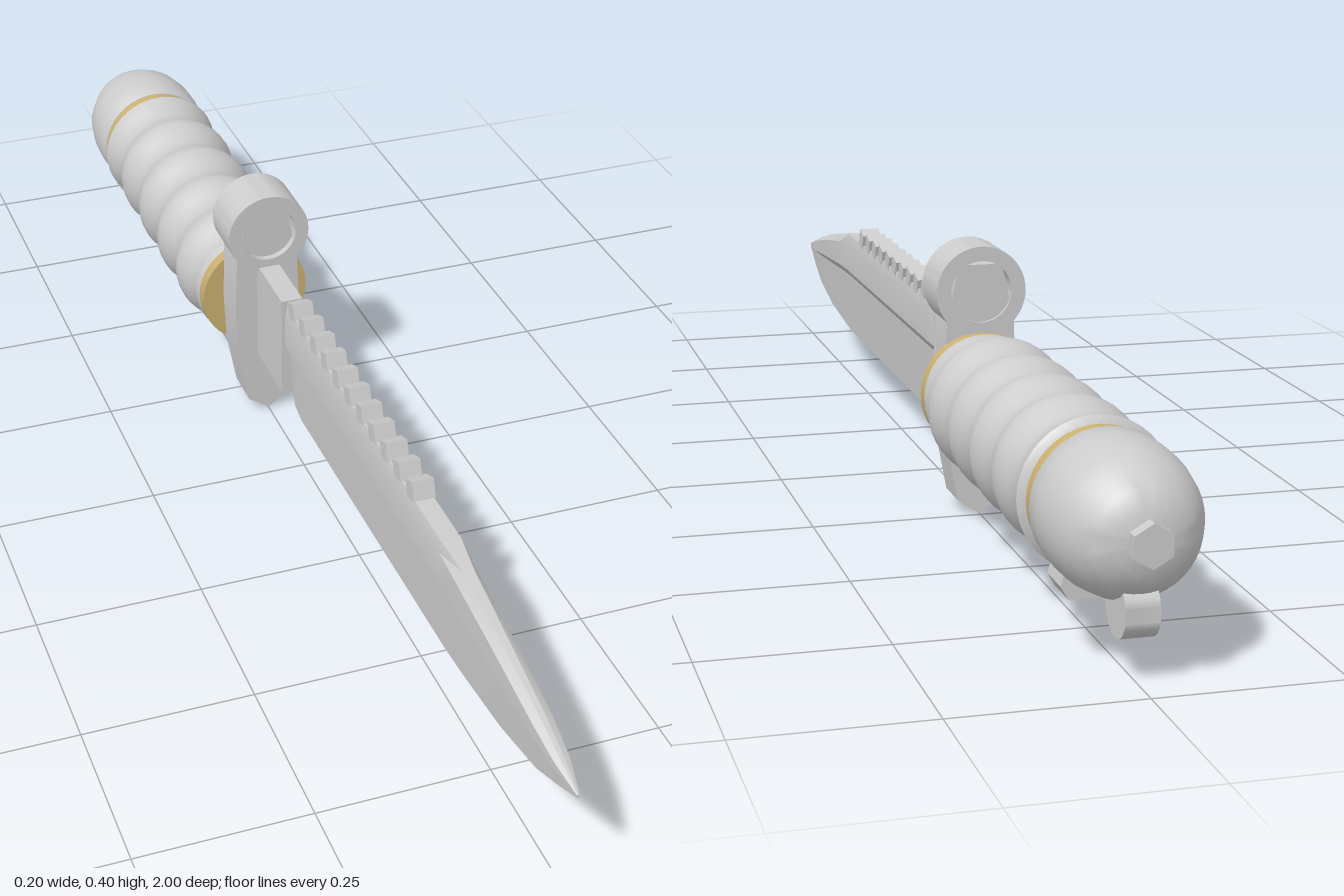
import * as THREE from 'three';
import { toCreasedNormals } from 'three/addons/utils/BufferGeometryUtils.js';

const AXIS_Y = 0.185; // height of the handle axis

export function createModel() {
  const model = new THREE.Group();
  model.name = 'knife';
  const steel = new THREE.MeshStandardMaterial({ color: 0xcccccc });
  steel.name = 'steel';
  const brass = new THREE.MeshStandardMaterial({ color: 0xcbb071 });
  brass.name = 'brass';

  const add = (name, geometry, material = steel, x = 0, y = 0, z = 0) => {
    const mesh = new THREE.Mesh(geometry, material);
    mesh.name = name;
    mesh.position.set(x, y, z);
    model.add(mesh);
    return mesh;
  };
  // Box given by its y and z limits, centred on x = 0
  const slab = (name, width, y0, y1, z0, z1) =>
    add(name, new THREE.BoxGeometry(width, y1 - y0, z1 - z0), steel, 0, (y0 + y1) / 2, (z0 + z1) / 2);
  // Turned part along z; profile rows are [radius, z] from back to front
  const turned = (name, profile, material, crease = 0.6) => {
    const pts = profile.map(([r, z]) => new THREE.Vector2(r, z));
    const geo = new THREE.LatheGeometry(pts, 40).rotateX(Math.PI / 2);
    return add(name, toCreasedNormals(geo, crease), material, 0, AXIS_Y, 0);
  };
  const extrude = (name, shape, z0, z1) => {
    const geo = new THREE.ExtrudeGeometry(shape, { depth: z1 - z0, bevelEnabled: false, curveSegments: 24 });
    return add(name, toCreasedNormals(geo, 0.5), steel, 0, 0, z0);
  };
  const polygon = (pts) => new THREE.Shape(pts.map(([x, y]) => new THREE.Vector2(x, y)));

  add('blade', bladeGeometry());

  // Saw teeth along the spine
  for (let i = 0; i < 11; i++) {
    const tooth = add('sawTooth', new THREE.BoxGeometry(0.032, 0.028, 0.026), steel, 0, 0.28, 0.478 - i * 0.0492);
    tooth.rotation.x = -0.35;
  }

  // Neck and ricasso between blade and guard
  slab('bladeNeck', 0.016, 0.2, 0.268, -0.06, -0.03);
  slab('ricasso', 0.034, 0.107, 0.275, -0.2, -0.056);

  // Guard plate with pointed lower end
  const half = [[0.033, 0.022], [0.05, 0.112], [0.054, 0.195], [0.05, 0.285], [0.032, 0.372]];
  const mirrored = half.map(([x, y]) => [-x, y]).reverse();
  extrude('guard', polygon([[0, 0], ...half, ...mirrored]), -0.245, -0.177);

  // Muzzle ring on top of the guard
  const ring = new THREE.Shape().absarc(0, 0.333, 0.066, 0, Math.PI * 2, false);
  ring.holes.push(new THREE.Path().absarc(0, 0.333, 0.045, 0, Math.PI * 2, true));
  extrude('muzzleRing', ring, -0.25, -0.166);

  // Brass washers at both ends of the grip
  for (const [name, z, r] of [['frontWasher', -0.263, 0.088], ['rearWasher', -0.813, 0.092]]) {
    turned(name, [[0, z], [r, z], [r, z + 0.022], [0, z + 0.022]], brass);
  }

  // Ribbed grip
  const grip = [[0, -0.792], [0.09, -0.792]];
  for (let i = 1; i < 48; i++) {
    const z = -0.792 + (i / 48) * 0.53;
    grip.push([0.0945 + 0.007 * Math.cos(((z + 0.345) / 0.11) * Math.PI * 2), z]);
  }
  grip.push([0.088, -0.262], [0, -0.262]);
  turned('grip', grip, steel, 0.9);

  // Domed pommel
  turned('pommel', [
    [0, -0.985], [0.04, -0.981], [0.062, -0.969], [0.08, -0.948], [0.092, -0.92],
    [0.098, -0.885], [0.099, -0.855], [0.097, -0.82], [0.093, -0.812], [0, -0.812],
  ], steel, 0.7);

  // Hexagonal end nut
  const nut = new THREE.CylinderGeometry(0.028, 0.028, 0.03, 6).rotateX(Math.PI / 2);
  add('endNut', toCreasedNormals(nut, 0.5), steel, 0, AXIS_Y, -0.985);

  // Latch under the pommel with its rounded lever
  extrude('latch', polygon([
    [-0.074, 0.103], [-0.064, 0.086], [0.064, 0.086], [0.074, 0.103], [0.07, 0.118], [-0.07, 0.118],
  ]), -0.88, -0.825);
  const lever = new THREE.CylinderGeometry(0.038, 0.038, 0.044, 24).rotateZ(Math.PI / 2);
  add('latchLever', toCreasedNormals(lever, 0.6), steel, 0, 0.09, -0.93);

  return model;
}

// Blade lofted through cross-sections from tip to heel
function bladeGeometry() {
  // [z, spine y, ridge y, edge y, half thickness, half spine width]
  const stations = [
    [1.0, 0.176, 0.174, 0.17, 0.002, 0.001],
    [0.95, 0.193, 0.181, 0.149, 0.011, 0.003],
    [0.89, 0.211, 0.187, 0.125, 0.015, 0.004],
    [0.78, 0.237, 0.196, 0.103, 0.017, 0.005],
    [0.65, 0.261, 0.205, 0.091, 0.018, 0.008],
    [0.59, 0.27, 0.207, 0.088, 0.018, 0.014],
    [0.3, 0.273, 0.207, 0.087, 0.018, 0.014],
    [0.0, 0.275, 0.207, 0.087, 0.018, 0.014],
    [-0.03, 0.275, 0.207, 0.096, 0.018, 0.014],
    [-0.041, 0.272, 0.207, 0.115, 0.017, 0.013],
  ];
  const positions = [];
  const index = [];
  const n = 10;
  for (const [z, top, ridge, edge, w, spine] of stations) {
    const right = [
      [spine, top],
      [w, top - (top - ridge) * 0.25],
      [w, ridge],
      [w * 0.48, ridge - (ridge - edge) * 0.12],
      [w * 0.25, edge],
    ];
    const left = right.map(([x, y]) => [-x, y]).reverse();
    for (const [x, y] of [...right, ...left]) positions.push(x, y, z);
  }
  for (let i = 0; i < stations.length - 1; i++) {
    for (let j = 0; j < n; j++) {
      const a = i * n + j;
      const b = i * n + ((j + 1) % n);
      index.push(a, b, a + n, b, b + n, a + n);
    }
  }
  // Closed ends
  const heel = (stations.length - 1) * n;
  for (let j = 0; j < n / 2 - 1; j++) {
    const q = [j, j + 1, n - 2 - j, n - 1 - j];
    const [a, b, c, d] = q.map((k) => heel + k);
    index.push(a, b, c, a, c, d);
    index.push(q[0], q[2], q[1], q[0], q[3], q[2]);
  }
  const geo = new THREE.BufferGeometry();
  geo.setAttribute('position', new THREE.Float32BufferAttribute(positions, 3));
  geo.setIndex(index);
  return toCreasedNormals(geo, 0.3);
}
